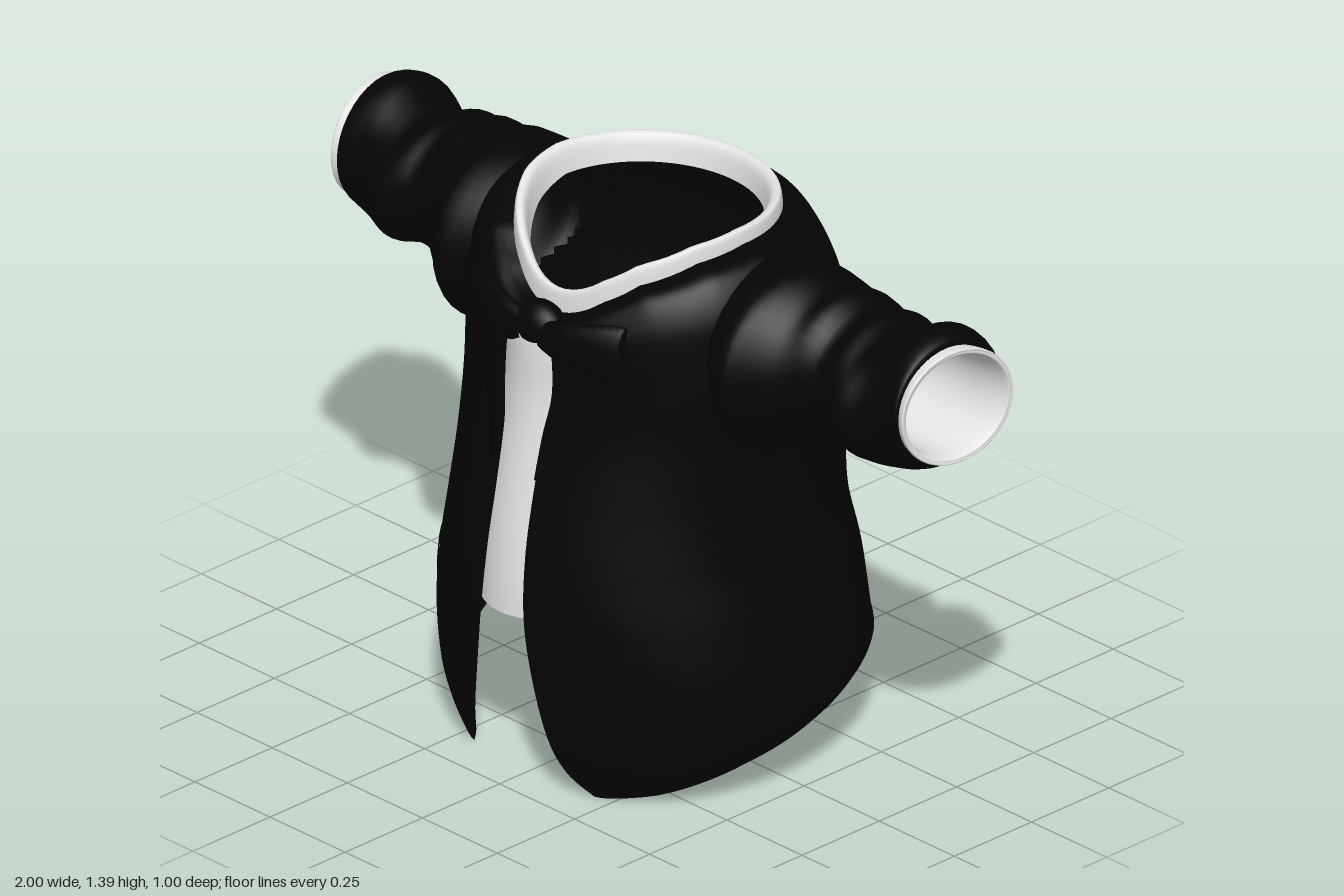
import * as THREE from 'three';
import { mergeVertices } from 'three/addons/utils/BufferGeometryUtils.js';

const mat = (name, color) => {
  const m = new THREE.MeshStandardMaterial({ color, side: THREE.DoubleSide });
  m.name = name;
  return m;
};

// Smooth surface from a rule f(u, v) -> [x, y, z]; keep() can leave holes.
function grid(nu, nv, f, keep = () => true) {
  const pos = [], index = [];
  for (let j = 0; j <= nv; j++)
    for (let i = 0; i <= nu; i++) pos.push(...f(i / nu, j / nv));
  for (let j = 0; j < nv; j++)
    for (let i = 0; i < nu; i++) {
      if (!keep(...f((i + 0.5) / nu, (j + 0.5) / nv))) continue;
      const a = j * (nu + 1) + i, b = a + 1, c = a + nu + 1, d = c + 1;
      index.push(a, b, d, a, d, c);
    }
  const geo = new THREE.BufferGeometry();
  geo.setAttribute('position', new THREE.Float32BufferAttribute(pos, 3));
  geo.setIndex(index);
  const merged = mergeVertices(geo, 1e-5);
  merged.computeVertexNormals();
  return merged;
}

// Smooth interpolation of every field of a table, t in 0..1.
function sample(rows, t) {
  const p = Math.min(Math.max(t, 0), 1) * (rows.length - 1);
  const i = Math.min(Math.floor(p), rows.length - 2), k = p - i;
  const r = (n) => rows[Math.min(Math.max(n, 0), rows.length - 1)];
  return rows[0].map((_, c) => {
    const a = r(i - 1)[c], b = r(i)[c], d = r(i + 1)[c], e = r(i + 2)[c];
    return b + 0.5 * k * (d - a + k * (2 * a - 5 * b + 4 * d - e + k * (3 * (b - d) + e - a)));
  });
}

// Linear look-up in [key, value] pairs with rising keys.
function lookup(pairs, x) {
  for (let i = 1; i < pairs.length; i++) {
    const [x0, y0] = pairs[i - 1], [x1, y1] = pairs[i];
    if (x <= x1) return y0 + (y1 - y0) * Math.max(0, (x - x0) / (x1 - x0));
  }
  return pairs[pairs.length - 1][1];
}

// Hem and neckline heights, by cosine of the angle from the front.
const hemY = (c) => lookup([[-1, 0.14], [-0.95, 0.18], [-0.86, 0.235], [-0.6, 0.245], [-0.3, 0.215], [0, 0.17], [0.4, 0.1], [0.75, 0.025], [0.9, 0], [1, 0]], c);
const neckY = (c) => lookup([[-1, 1.355], [0, 1.365], [0.4, 1.35], [0.75, 1.305], [0.9, 1.255], [1, 1.2]], c);

// Body rings: height, hem weight, neck weight, half width, front z, back z, half gap
const rings = [
  [0, 1, 0, 0.505, 0.425, -0.495, 0.2],
  [0.06, 0.8, 0, 0.517, 0.45, -0.495, 0.15],
  [0.15, 0.5, 0, 0.522, 0.475, -0.493, 0.12],
  [0.3, 0, 0, 0.52, 0.49, -0.488, 0.09],
  [0.45, 0, 0, 0.495, 0.495, -0.475, 0.07],
  [0.6, 0, 0, 0.465, 0.482, -0.445, 0.062],
  [0.75, 0, 0, 0.455, 0.455, -0.44, 0.06],
  [0.9, 0, 0, 0.462, 0.425, -0.44, 0.065],
  [1.03, 0, 0.15, 0.47, 0.41, -0.437, 0.08],
  [1.14, 0, 0.2, 0.46, 0.405, -0.42, 0.075],
  [1.25, 0, 0.6, 0.44, 0.395, -0.378, 0.05],
  [1.33, 0, 0.95, 0.385, 0.37, -0.335, 0.02],
  [1.345, 0, 1.05, 0.31, 0.325, -0.295, 0.01],
];

// Point on the jacket: u runs round from one front edge to the other, t from hem to neck.
function bodyPoint(u, t, lift = 0) {
  const [y, hw, nw, w, zf, zb, gap] = sample(rings, t);
  const a0 = Math.asin(gap / w), a = a0 + u * 2 * (Math.PI - a0), c = Math.cos(a);
  return [(w + lift) * Math.sin(a), y + hw * hemY(c) + nw * (neckY(c) - 1.36),
    (zf + zb) / 2 + ((zf - zb) / 2 + lift) * c];
}

// Tube along x through rows of [x, top, bottom, front z, back z, slant].
const tube = (rows, nv, nu = 36) => grid(nu, nv, (u, v) => {
  const [x, top, bot, zf, zb, slant] = sample(rows, v), a = u * Math.PI * 2;
  return [x - slant * Math.sin(a), (top + bot) / 2 + (top - bot) / 2 * Math.cos(a),
    (zf + zb) / 2 + (zf - zb) / 2 * Math.sin(a)];
});

export function createModel() {
  const model = new THREE.Group();
  model.name = 'jacket';
  const black = mat('black cloth', 0x040404);
  const white = mat('white cloth', 0xe4e4e4);
  const add = (name, geo, material, parent = model) => {
    const m = new THREE.Mesh(geo, material);
    m.name = name;
    parent.add(m);
    return m;
  };

  // Jacket shell with open front and armholes
  const outsideArmhole = (x, y, z) =>
    Math.abs(x) < 0.25 || Math.hypot((y - 1.135) / 0.155, (z + 0.035) / 0.165) > 1;
  add('jacketBody', grid(144, 84, (u, t) => bodyPoint(u, t), outsideArmhole), black);

  // Shirt front, bowed forward in the gap and tucked behind the jacket edges
  add('shirtFront', grid(16, 24, (u, v) => {
    const r = sample(rings, (4 + v * 6.2) / 12);
    const x = (u * 2 - 1) * (0.2 - 0.09 * v);
    return [x, r[0] - 0.16 * r[2], r[4] + 0.006 - 3.5 * x * x];
  }), white);

  // Shirt collar: outside, top edge and inner face of a band round the neck, taller in front
  const band = [[0.314, 0.332, -0.297, -0.04], [0.312, 0.328, -0.29, 0.01],
    [0.304, 0.318, -0.282, 0.021], [0.285, 0.302, -0.262, 0.01], [0.272, 0.292, -0.25, -0.045]];
  add('shirtCollar', grid(72, 12, (u, v) => {
    const [w, zf, zb, dy] = sample(band, v), a = u * Math.PI * 2, c = Math.cos(a);
    return [w * Math.sin(a), neckY(c) + dy * (1 + 0.5 * Math.max(c, 0)), (zf + zb) / 2 + (zf - zb) / 2 * c];
  }), white);

  // Rumpled sleeve, hollow cuff and bow wing
  const sleeve = tube([
    [0.36, 1.335, 0.95, 0.19, -0.23, 0], [0.46, 1.342, 0.88, 0.25, -0.24, 0],
    [0.51, 1.338, 0.905, 0.225, -0.228, 0], [0.57, 1.312, 0.935, 0.18, -0.225, 0],
    [0.62, 1.315, 0.95, 0.15, -0.215, 0], [0.67, 1.285, 0.965, 0.14, -0.222, 0],
    [0.72, 1.29, 0.968, 0.15, -0.23, 0], [0.77, 1.27, 0.96, 0.163, -0.2, 0],
    [0.82, 1.292, 0.95, 0.14, -0.205, 0], [0.87, 1.32, 0.953, 0.125, -0.222, 0.005],
    [0.91, 1.322, 0.97, 0.125, -0.215, 0.01], [0.94, 1.31, 0.99, 0.125, -0.2, 0.012],
    [0.945, 1.29, 1.01, 0.108, -0.178, 0.012],
  ], 48);
  const cuff = tube([
    [0.86, 1.285, 1.015, 0.1, -0.17, 0.01], [0.93, 1.292, 1.008, 0.11, -0.18, 0.015],
    [0.972, 1.297, 1.003, 0.122, -0.19, 0.024], [0.976, 1.29, 1.01, 0.115, -0.184, 0.024],
    [0.967, 1.28, 1.02, 0.105, -0.175, 0.024], [0.9, 1.275, 1.025, 0.095, -0.165, 0.01],
    [0.72, 1.265, 1.03, 0.095, -0.165, 0],
  ], 30);
  const bowWing = tube([
    [0.03, 1.18, 1.1, 0.41, 0.36, 0], [0.1, 1.195, 1.085, 0.41, 0.35, 0],
    [0.18, 1.212, 1.06, 0.392, 0.32, 0], [0.235, 1.217, 1.052, 0.368, 0.3, 0],
    [0.248, 1.205, 1.065, 0.356, 0.305, 0], [0.25, 1.14, 1.13, 0.335, 0.33, 0],
  ], 20, 24);
  // Lapel narrowing downward, with a notch near the top
  const lapel = grid(8, 24, (u, v) => {
    const width = 0.012 + 0.1 * v - (Math.abs(v - 0.78) < 0.05 ? 0.025 : 0);
    return bodyPoint(u * width, (6.3 + v * 5.2) / 12, 0.007 * (1 - u * u));
  });
  // Slanted pocket flap on the hip
  const pocket = grid(14, 3, (u, v) =>
    bodyPoint(0.07 + 0.17 * u, (3.55 + 0.45 * u + 0.35 * v) / 12, 0.003));

  // Mirrored pairs
  for (const [side, s] of [['left', 1], ['right', -1]]) {
    const half = new THREE.Group();
    half.name = side + 'Side';
    half.scale.x = s;
    add(side + 'Sleeve', sleeve, black, half);
    add(side + 'Cuff', cuff, white, half);
    add(side + 'BowWing', bowWing, black, half);
    add(side + 'Lapel', lapel, black, half);
    add(side + 'PocketFlap', pocket, black, half);
    model.add(half);
  }

  // Bow knot
  const knot = add('bowKnot', new THREE.SphereGeometry(1, 20, 14), black);
  knot.scale.set(0.07, 0.062, 0.05);
  knot.position.set(0, 1.15, 0.365);

  return model;
}
